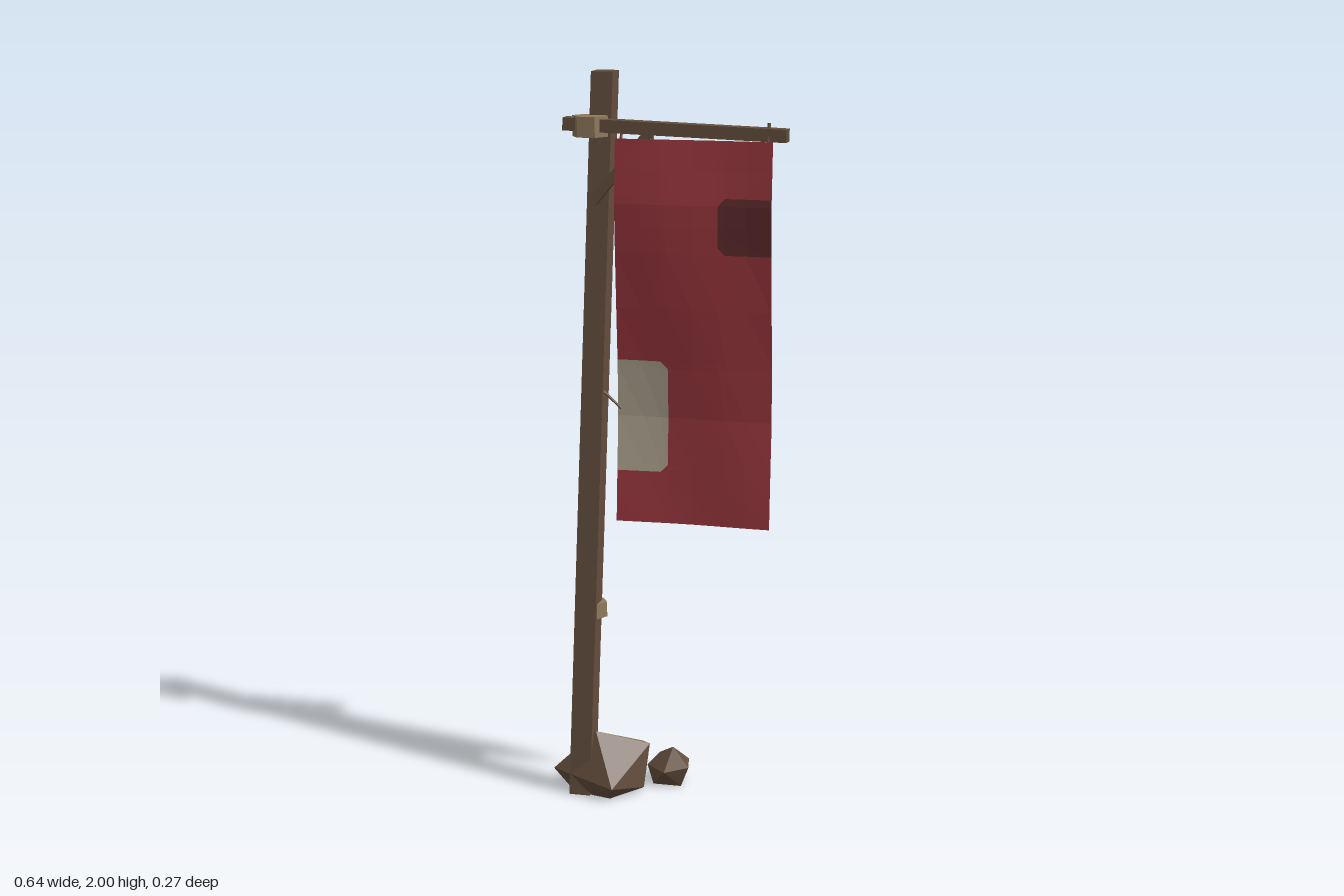
import * as THREE from 'three';
import { ConvexGeometry } from 'three/addons/geometries/ConvexGeometry.js';

const mat = (name, color, extra = {}) => {
  const m = new THREE.MeshStandardMaterial({ color, flatShading: true, ...extra });
  m.name = name;
  return m;
};
const V = (a) => new THREE.Vector3(...a);

export function createModel() {
  const model = new THREE.Group();
  const wood = mat('darkWood', 0x654f3e);
  const tan = mat('paleWood', 0x8f795c);
  const two = { side: THREE.DoubleSide };
  const red = mat('redCloth', 0x98363d, two);
  const maroon = mat('maroonPatch', 0x5e2a2c, two);
  const cream = mat('creamPatch', 0xaba18e, two);

  const add = (name, geometry, material) => {
    const mesh = new THREE.Mesh(geometry, material);
    mesh.name = name;
    model.add(mesh);
    return mesh;
  };

  // square beam running between two points
  const beam = (name, from, to, height, depth, material = wood) => {
    const a = V(from), b = V(to), d = b.clone().sub(a);
    const mesh = add(name, new THREE.BoxGeometry(d.length(), height, depth), material);
    mesh.position.copy(a).add(b).multiplyScalar(0.5);
    mesh.quaternion.setFromUnitVectors(new THREE.Vector3(1, 0, 0), d.normalize());
  };

  // thin round cord or pin between two points
  const cord = (name, from, to, r) =>
    add(name, new THREE.TubeGeometry(new THREE.LineCurve3(V(from), V(to)), 1, r, 5), wood);

  // leaning pole: a box sheared along its height
  const poleGeo = new THREE.BoxGeometry(0.06, 2, 0.064);
  const p = poleGeo.attributes.position;
  for (let i = 0; i < p.count; i++) {
    const t = (p.getY(i) + 1) / 2;
    p.setXYZ(i, p.getX(i) - 0.24 + 0.05 * t, t * 2, p.getZ(i) + 0.06 - 0.102 * t);
  }
  poleGeo.computeVertexNormals();
  add('pole', poleGeo, wood);

  // crossbar and diagonal brace
  beam('crossbar', [-0.286, 1.864, 0.017], [0.318, 1.845, 0.017], 0.034, 0.043);
  beam('brace', [-0.21, 1.655, 0.017], [-0.05, 1.85, 0.017], 0.024, 0.024);

  // six-sided lashings around the pole
  const lashing = (name, x, y, z, r, h) => {
    const mesh = add(name, new THREE.CylinderGeometry(r, r, h, 6), tan);
    mesh.position.set(x, y, z);
    mesh.rotation.y = Math.PI / 6;
    mesh.geometry.rotateY(Math.PI / 3);
    return mesh;
  };
  lashing('upperLashing', -0.217, 1.858, 0.012, 0.049, 0.055);
  lashing('lowerLashing', -0.219, 0.525, 0.017, 0.042, 0.042);

  // cloth: a wavy grid whose lines follow the patch outlines
  const depths = [[0.79, 0.046], [0.95, 0.036], [1.1, 0.027], [1.25, 0.036],
    [1.45, 0.052], [1.65, 0.06], [1.83, 0.044]];
  const clothZ = (x, y) => {
    let k = 0;
    while (k < depths.length - 2 && y > depths[k + 1][0]) k++;
    const [[y0, z0], [y1, z1]] = [depths[k], depths[k + 1]];
    const base = z0 + (z1 - z0) * (y - y0) / (y1 - y0);
    return base + 0.004 * Math.sin(x * 14 + y * 5) + 0.006 * x;
  };
  const xs = [-0.14, -0.07, -0.02, 0, 0.07, 0.14, 0.16, 0.215, 0.285];
  const ys = [0.79, 0.86, 0.93, 0.95, 1.08, 1.215, 1.235, 1.38, 1.53, 1.55, 1.6, 1.66, 1.68, 1.75, 1.83];
  // how far a point lies inside a clipped corner; above 1 is outside the patch
  const clip = (dx, dy) => Math.max(0, dx) / 0.02 + Math.max(0, dy) / 0.02;
  const patchAt = (x, y) => {
    const inCream = x < 0 && y > 0.93 && y < 1.235;
    if (inCream && clip(x + 0.02, Math.max(0.95 - y, y - 1.215)) < 1) return 2;
    const inMaroon = x > 0.14 && y > 1.53 && y < 1.68;
    if (inMaroon && clip(0.16 - x, Math.max(1.55 - y, y - 1.66)) < 1) return 1;
    return 0;
  };
  const verts = [], cloth = new THREE.BufferGeometry();
  const tri = (...pts) => {
    const cx = (pts[0][0] + pts[1][0] + pts[2][0]) / 3;
    const cy = (pts[0][1] + pts[1][1] + pts[2][1]) / 3;
    cloth.addGroup(verts.length / 3, 3, patchAt(cx, cy));
    pts.forEach(([x, y]) => verts.push(x, y, clothZ(x, y)));
  };
  for (let j = 0; j < ys.length - 1; j++) {
    for (let i = 0; i < xs.length - 1; i++) {
      const a = [xs[i], ys[j]], b = [xs[i + 1], ys[j]];
      const c = [xs[i + 1], ys[j + 1]], d = [xs[i], ys[j + 1]];
      const rising = ys[j] === 0.93 || ys[j] >= 1.6;
      if (rising) { tri(a, b, c); tri(a, c, d); }
      else { tri(a, b, d); tri(b, c, d); }
    }
  }
  cloth.setAttribute('position', new THREE.Float32BufferAttribute(verts, 3));
  cloth.computeVertexNormals();
  add('bannerCloth', cloth, [red, maroon, cream]);

  // ties that hold the cloth
  for (const x of [-0.125, -0.04, 0.27]) {
    cord('topTie', [x, 1.875, 0.025], [x, 1.815, 0.044], 0.004);
  }
  cord('barPin', [0.27, 1.84, 0.025], [0.27, 1.878, 0.025], 0.005);
  cord('sideTie', [-0.2, 1.155, 0.012], [-0.13, 1.1, 0.028], 0.004);

  // faceted rocks; the flattest upper faces of the big one are paler
  const rock = (name, points, paleAbove) => {
    const g = new ConvexGeometry(points.map(V));
    const n = g.attributes.normal;
    for (let i = 0; i < n.count; i += 3) {
      g.addGroup(i, 3, n.getY(i) > paleAbove && n.getZ(i) < 0 ? 1 : 0);
    }
    add(name, g, [wood, tan]);
  };
  rock('largeRock', [
    [-0.32, 0.065, 0.07], [-0.275, 0.07, -0.065], [-0.11, 0.1, -0.11],
    [-0.06, 0.135, 0], [-0.135, 0.04, 0.135], [-0.2, 0.18, 0.06],
    [-0.26, 0, 0.07], [-0.22, 0, -0.05], [-0.1, 0, -0.06],
    [-0.07, 0.015, 0.03], [-0.15, 0, 0.1],
  ], 0.75);
  rock('smallRock', [
    [-0.085, 0.045, -0.07], [-0.065, 0.06, -0.135], [0.022, 0.05, -0.13],
    [0.044, 0.06, -0.03], [-0.01, 0.104, -0.07], [-0.02, 0.05, 0],
    [-0.06, 0, -0.04], [0.02, 0, -0.04], [0.01, 0, -0.11], [-0.04, 0, -0.11],
  ], 2);

  return model;
}
